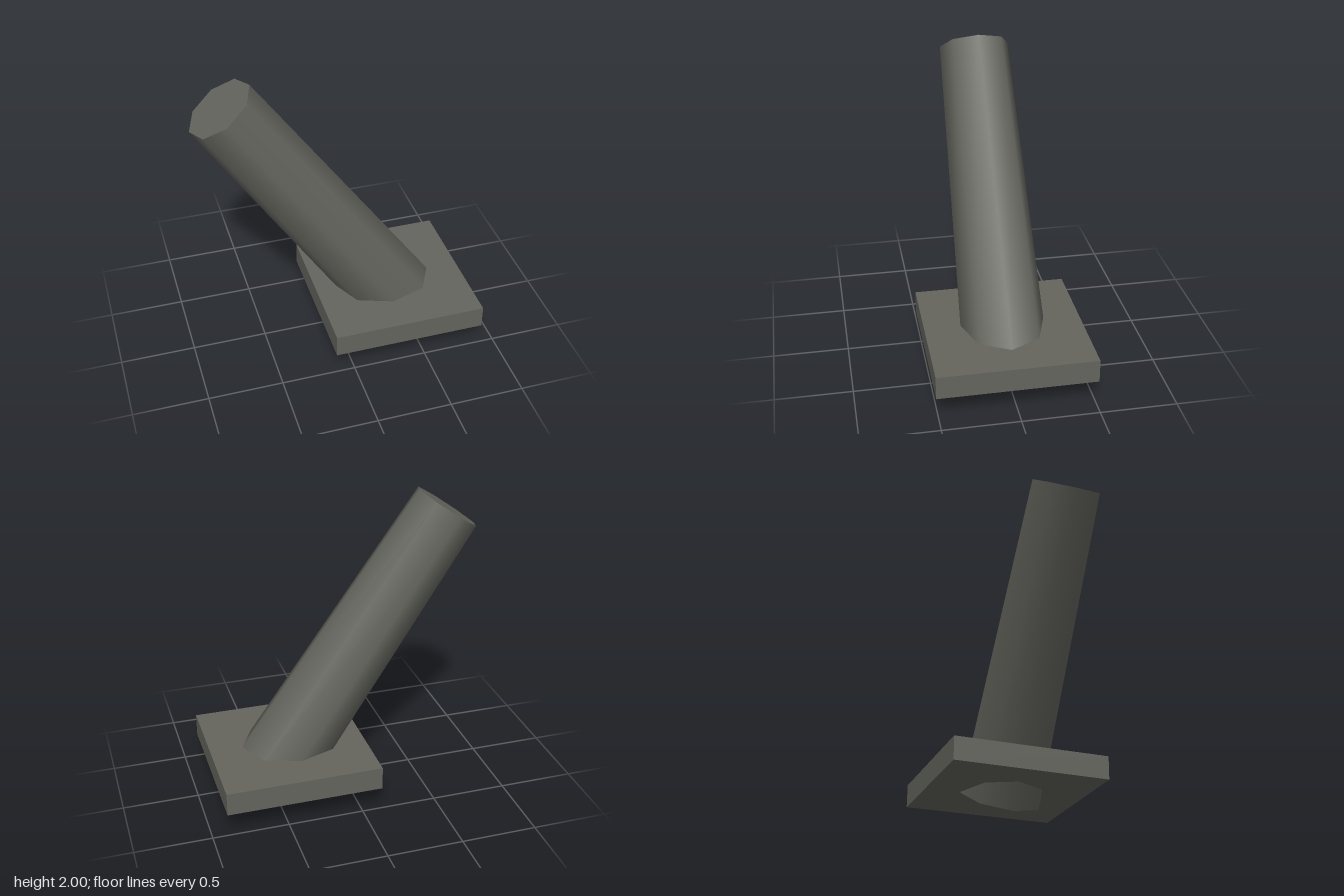
import * as THREE from 'three';

export function createModel() {
  const model = new THREE.Group();
  const darkGrey = new THREE.MeshStandardMaterial({ color: 0x65655e });
  darkGrey.name = 'dark warm grey';

  // Square plate, offset toward +x
  const plate = new THREE.Mesh(new THREE.BoxGeometry(1.03, 0.155, 1.03), darkGrey);
  plate.name = 'basePlate';
  plate.position.set(0.386, 0.242, 0);
  model.add(plate);

  // Leaning, slightly tapered eight-sided post that pokes through the plate
  const bottom = new THREE.Vector3(0.453, 0.16, 0);
  const top = new THREE.Vector3(-0.712, 1.87, 0);
  const axis = top.clone().sub(bottom);
  const post = new THREE.Mesh(
    new THREE.CylinderGeometry(0.232, 0.281, axis.length(), 8),
    darkGrey
  );
  post.name = 'leaningPost';
  post.position.copy(bottom).add(top).multiplyScalar(0.5);
  post.rotation.z = Math.atan2(-axis.x, axis.y);
  model.add(post);

  return model;
}
